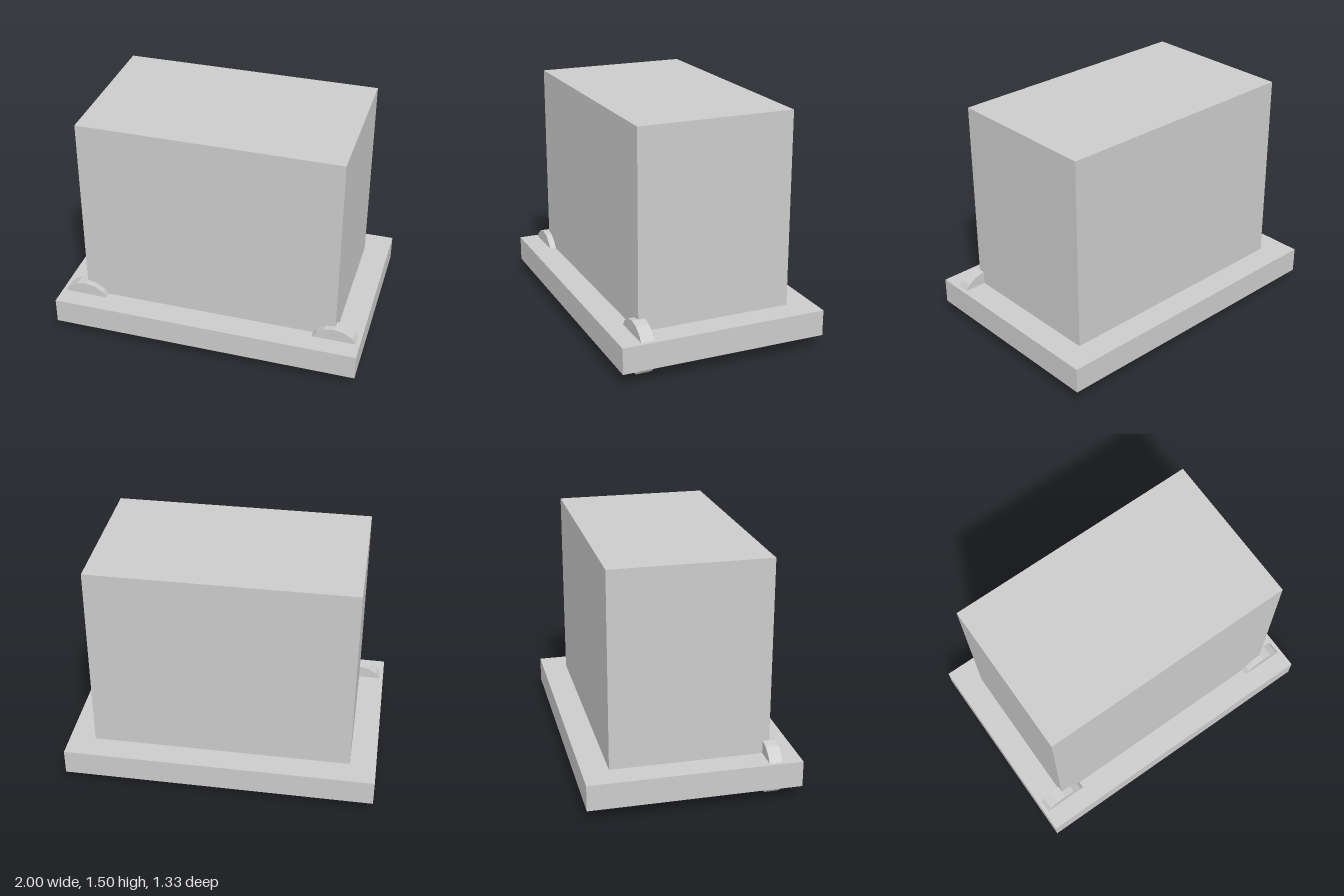
import * as THREE from 'three';

export function createModel() {
  const group = new THREE.Group();
  const material = new THREE.MeshStandardMaterial({ color: 0xcccccc, flatShading: true });

  const add = (name, geometry, x, y, z) => {
    const mesh = new THREE.Mesh(geometry, material);
    mesh.name = name;
    mesh.position.set(x, y, z);
    group.add(mesh);
  };

  // Flat base plate with the tall box standing on it
  add('basePlate', new THREE.BoxGeometry(2, 1 / 6, 4 / 3), 0, 1 / 6, 0);
  add('body', new THREE.BoxGeometry(5 / 3, 1.25, 1), 0, 0.875, 0);

  // Two front wheels set through the plate, axles along z
  const wheel = new THREE.CylinderGeometry(1 / 6, 1 / 6, 1 / 12, 16).rotateX(Math.PI / 2);
  for (const side of [1, -1]) {
    add(side > 0 ? 'leftWheel' : 'rightWheel', wheel, side * 5 / 6, 1 / 6, 0.5);
  }

  return group;
}
